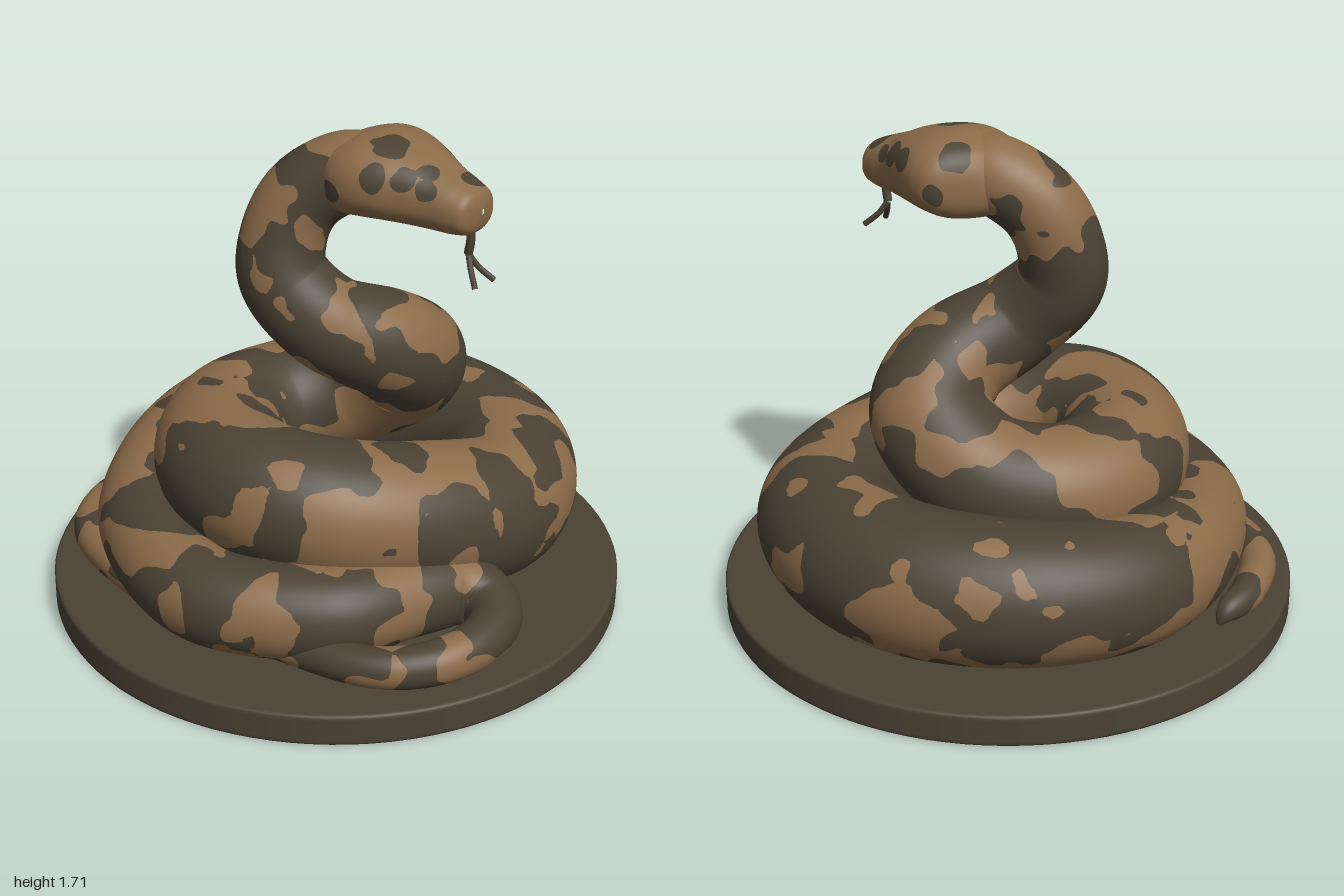
import * as THREE from 'three';

const brown = new THREE.MeshStandardMaterial({ color: 0x8b6b49 });
brown.name = 'scaleBrown';
const dark = new THREE.MeshStandardMaterial({ color: 0x4b4234 });
dark.name = 'darkBrown';

const FLOOR = 0.112; // top of the plinth

// Smooth interpolation of every column in a table of stations, t from 0 to 1
function track(rows) {
  const last = rows.length - 1;
  return (t) => {
    const i = Math.min(Math.floor(t * last), last - 1), f = t * last - i;
    const at = (k) => rows[Math.max(0, Math.min(last, k))];
    return rows[0].map((_, c) => {
      const a = at(i - 1)[c], b = at(i)[c], d = at(i + 1)[c], e = at(i + 2)[c];
      return b + 0.5 * f * (d - a + f * (2 * a - 5 * b + 4 * d - e + f * (3 * (b - d) + e - a)));
    });
  };
}

// Seeded value noise for the blotches
function hash(x, y, z) {
  let h = Math.imul(x, 374761393) ^ Math.imul(y, 668265263) ^ Math.imul(z, 1274126177);
  h = Math.imul(h ^ (h >>> 13), 1103515245);
  return ((h ^ (h >>> 16)) >>> 0) / 4294967296;
}
function noise(v, scale) {
  const p = [v.x, v.y, v.z].map((c) => c * scale + 60), n = p.map(Math.floor);
  const f = p.map((c, i) => { const u = c - n[i]; return u * u * (3 - 2 * u); });
  let sum = 0;
  for (let k = 0; k < 8; k++) {
    const o = [k & 1, (k >> 1) & 1, k >> 2];
    const w = o.reduce((m, b, i) => m * (b ? f[i] : 1 - f[i]), 1);
    sum += w * hash(n[0] + o[0], n[1] + o[1], n[2] + o[2]);
  }
  return sum - 0.5;
}

// Skin over closed rings, cut along the zero line of the field: dark above, brown below
function skin(rings, field, name) {
  const n = rings[0].length, pts = rings.flat(), faces = [[], []], cuts = new Map();
  const vals = pts.map(field);
  const cut = (a, b) => {
    const [lo, hi] = a < b ? [a, b] : [b, a], key = `${lo}_${hi}`;
    if (!cuts.has(key)) {
      cuts.set(key, pts.push(pts[lo].clone().lerp(pts[hi], vals[lo] / (vals[lo] - vals[hi]))) - 1);
    }
    return cuts.get(key);
  };
  const tri = (...t) => {
    const side = t.map((i) => (vals[i] > 0 ? 1 : 0)), count = side[0] + side[1] + side[2];
    if (count % 3 === 0) return faces[side[0]].push(...t);
    const odd = side.indexOf(count === 1 ? 1 : 0);
    const [a, b, c] = [0, 1, 2].map((k) => t[(odd + k) % 3]);
    const p = cut(a, b), q = cut(a, c);
    faces[side[odd]].push(a, p, q);
    return faces[1 - side[odd]].push(p, b, c, p, c, q);
  };
  for (let i = 0; i < rings.length - 1; i++) {
    for (let j = 0; j < n; j++) {
      const a = i * n + j, b = i * n + (j + 1) % n;
      tri(a, b, a + n);
      tri(b, b + n, a + n);
    }
  }
  const geo = new THREE.BufferGeometry().setFromPoints(pts);
  geo.setIndex([...faces[0], ...faces[1]]);
  geo.addGroup(0, faces[0].length, 0);
  geo.addGroup(faces[0].length, faces[1].length, 1);
  geo.computeVertexNormals();
  const mesh = new THREE.Mesh(geo, [brown, dark]);
  mesh.name = name;
  return mesh;
}

// Neck and upper coil: x, y, z, radius
const RAISED = [
  [0.07, 1.57, 0.15, 0.12], [0.03, 1.56, 0.02, 0.135], [-0.04, 1.47, -0.1, 0.14],
  [-0.09, 1.33, -0.15, 0.146], [-0.11, 1.18, -0.13, 0.155], [-0.04, 1.03, 0, 0.167],
  [0.15, 0.91, 0.11, 0.192], [0.31, 0.77, 0.07, 0.207], [0.29, 0.62, -0.14, 0.21],
  [0.12, 0.56, -0.33, 0.22], [-0.12, 0.55, -0.37, 0.23], [-0.34, 0.55, -0.22, 0.235],
  [-0.41, 0.55, 0.02, 0.235], [-0.3, 0.51, 0.25, 0.24], [-0.06, 0.44, 0.41, 0.25],
];
// Lower coil and tail, resting on the plinth: x, z, radius
const RESTING = [
  [0.25, 0.49, 0.25], [0.52, 0.36, 0.25], [0.65, 0.08, 0.25], [0.62, -0.22, 0.25],
  [0.43, -0.5, 0.24], [0.14, -0.66, 0.22], [-0.2, -0.62, 0.195], [-0.52, -0.41, 0.175],
  [-0.7, 0, 0.163], [-0.53, 0.37, 0.158], [-0.26, 0.51, 0.148], [-0.11, 0.6, 0.13],
  [-0.08, 0.71, 0.105], [-0.16, 0.79, 0.088], [-0.32, 0.8, 0.079], [-0.48, 0.73, 0.073],
  [-0.59, 0.58, 0.068], [-0.64, 0.3, 0.066], [-0.68, -0.15, 0.066], [-0.61, -0.53, 0.066],
  [-0.49, -0.73, 0.064], [-0.3, -0.83, 0.058], [-0.17, -0.84, 0.044], [-0.12, -0.84, 0.006],
];
// Where the skin leans dark or brown: x, y, z, reach
const DARK_SPOTS = [
  [-0.17, 1.08, 0.04, 0.08], [0.07, 0.9, 0.26, 0.1], [0.36, 0.78, 0.24, 0.09], [-0.2, 1.32, -0.12, 0.09],
  [0.9, 0.4, 0.1, 0.2], [0.5, 0.5, -0.28, 0.2], [0.25, 0.5, -0.75, 0.13], [0.4, 0.55, 0.55, 0.13],
  [-0.1, 0.75, -0.5, 0.12], [-0.47, 0.78, 0.04, 0.1], [-0.6, 0.6, -0.1, 0.1], [0.05, 0.45, 0.68, 0.12],
  [0.75, 0.58, 0.08, 0.12], [-0.02, 0.25, 0.72, 0.1],
];
const BROWN_SPOTS = [
  [-0.03, 1.3, 0, 0.09], [0, 1.14, 0.06, 0.09], [0.14, 1.03, 0.2, 0.09], [0.3, 0.95, 0.2, 0.08],
  [0.86, 0.35, -0.28, 0.1], [0.68, 0.6, 0.28, 0.08], [0.55, 0.55, 0.46, 0.08], [0.5, 0.55, -0.52, 0.12],
  [-0.3, 0.48, -0.68, 0.14], [-0.4, 0.75, -0.28, 0.1], [0.12, 0.74, -0.5, 0.09], [-0.25, 0.7, 0.36, 0.09],
  [0.2, 0.3, 0.73, 0.09], [0.02, 1.66, -0.1, 0.1],
];

function makeBody() {
  const at = track([...RAISED, ...RESTING.map(([x, z, r]) => [x, FLOOR + 0.006 + r, z, r])]);
  const steps = 640, sides = 64, rings = [];
  const pos = (t) => new THREE.Vector3(...at(Math.max(0, Math.min(1, t))));
  const side = new THREE.Vector3(1, 0, 0);
  for (let i = 0; i <= steps; i++) {
    const t = i / steps, c = pos(t), r = Math.max(0.003, at(t)[3]);
    const dir = pos(t + 0.001).sub(pos(t - 0.001)).normalize();
    side.addScaledVector(dir, -side.dot(dir)).normalize();
    const up = dir.clone().cross(side);
    rings.push(Array.from({ length: sides }, (_, j) => {
      const a = (j / sides) * Math.PI * 2;
      return c.clone().addScaledVector(side, r * Math.cos(a)).addScaledVector(up, r * Math.sin(a));
    }));
  }
  const lean = (spots, v) => spots.reduce((sum, [x, y, z, r]) =>
    sum + 0.3 * Math.exp(-((v.x - x) ** 2 + (v.y - y) ** 2 + (v.z - z) ** 2) / (r * r)), 0);
  return skin(rings, (v) => 0.03 + noise(v, 8) + 0.3 * noise(v, 19) +
    lean(DARK_SPOTS, v) - lean(BROWN_SPOTS, v), 'coiledBody');
}

// Head stations from nape to snout: z, centre x, half width, bottom, top
const HEAD = [
  [-0.07, 0.02, 0.08, 1.47, 1.59], [0, 0.06, 0.15, 1.44, 1.67], [0.07, 0.085, 0.208, 1.43, 1.702],
  [0.14, 0.09, 0.217, 1.435, 1.712], [0.22, 0.09, 0.195, 1.44, 1.702], [0.3, 0.09, 0.158, 1.44, 1.68],
  [0.38, 0.088, 0.125, 1.44, 1.645], [0.46, 0.086, 0.106, 1.443, 1.615],
  [0.51, 0.085, 0.082, 1.46, 1.59], [0.528, 0.085, 0.004, 1.52, 1.54],
];
// Dark head marks: x, y, z, radius; cheek marks are mirrored
const CROWN = [
  [0.03, 1.7, 0.21, 0.06], [0.21, 1.67, 0.04, 0.06], [0.02, 1.65, 0.37, 0.04], [0.13, 1.61, 0.46, 0.045],
];
const CHEEK = [[0.18, 1.62, 0.22, 0.048], [0.14, 1.62, 0.3, 0.045], [0.11, 1.6, 0.38, 0.035], [0.21, 1.55, 0.07, 0.04]];

function makeHead() {
  const at = track(HEAD), sides = 64, rings = [];
  const soft = (v) => Math.sign(v) * Math.abs(v) ** 0.85;
  for (let i = 0; i <= 110; i++) {
    const [z, x, w, lo, hi] = at(i / 110), mid = lo + (hi - lo) * 0.48;
    rings.push(Array.from({ length: sides }, (_, j) => {
      const a = (j / sides) * Math.PI * 2, s = soft(Math.sin(a));
      return new THREE.Vector3(x + w * soft(Math.cos(a)), mid + s * (s > 0 ? hi - mid : mid - lo), z);
    }));
  }
  const spots = [...CROWN, ...[-1, 1].flatMap((s) => CHEEK.map(([x, ...rest]) => [0.088 + s * x, ...rest]))];
  return skin(rings, (v) => 0.8 * noise(v, 22) + Math.max(...spots.map(([x, y, z, r]) =>
    1 - Math.hypot(v.x - x, v.y - y, v.z - z) / r)), 'head');
}

function tube(name, points, radius) {
  const curve = new THREE.CatmullRomCurve3(points.map((p) => new THREE.Vector3(...p)));
  const mesh = new THREE.Mesh(new THREE.TubeGeometry(curve, 20, radius, 10), dark);
  mesh.name = name;
  return mesh;
}

export function createModel() {
  const group = new THREE.Group();
  group.name = 'coiledSnake';

  // Round plinth with softened rims
  const rim = [[0, 0], [0.98, 0], [0.99, 0], [0.997, 0.003], [1, 0.01], [1, 0.02]];
  const profile = [...rim, ...rim.map(([r, y]) => [r, FLOOR - y]).reverse()];
  const plinth = new THREE.Mesh(
    new THREE.LatheGeometry(profile.map((p) => new THREE.Vector2(...p)), 96), dark);
  plinth.name = 'plinth';
  group.add(plinth, makeBody(), makeHead());

  // Forked tongue
  const fork = [0.082, 1.375, 0.478];
  group.add(tube('tongue', [[0.08, 1.51, 0.46], [0.08, 1.47, 0.484], [0.08, 1.42, 0.487], fork], 0.015));
  for (const s of [-1, 1]) {
    group.add(tube('tongueFork', [fork, [0.08 + s * 0.02, 1.33, 0.505], [0.075 + s * 0.052, 1.285, 0.55]], 0.01));
  }
  return group;
}
